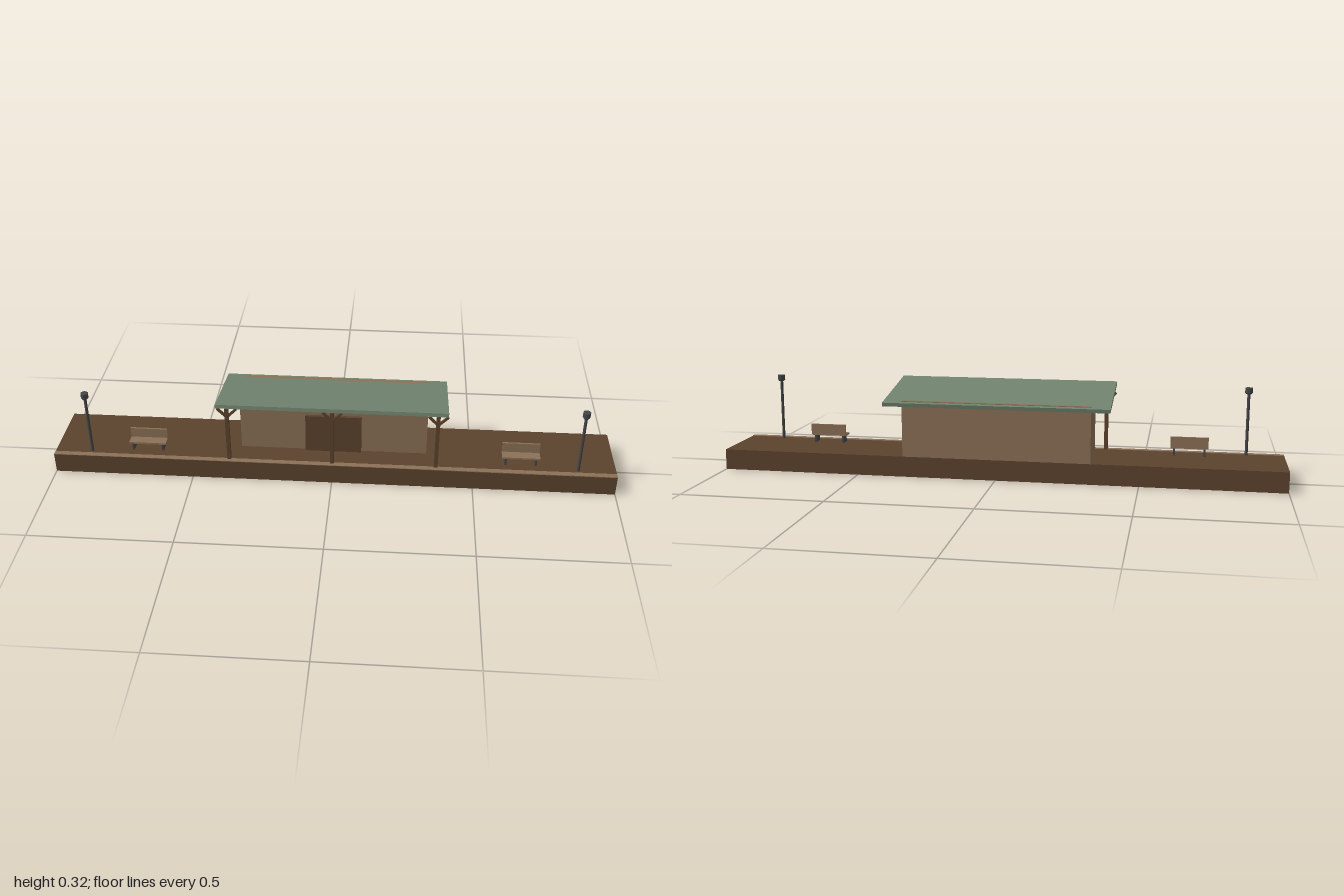
import * as THREE from 'three';

const mat = (color) => new THREE.MeshStandardMaterial({ color });

export function createModel() {
  const model = new THREE.Group();
  model.name = 'stationPlatform';
  const darkWood = mat(0x5c432d), wood = mat(0x8b7056), roofGreen = mat(0x71836f), metal = mat(0x444548);
  const deck = 0.073;

  const add = (parent, name, geometry, material, x, y, z) => {
    const mesh = new THREE.Mesh(geometry, material);
    mesh.name = name;
    mesh.position.set(x, y, z);
    parent.add(mesh);
    return mesh;
  };
  const box = (parent, name, material, [w, h, d], [x, y, z]) =>
    add(parent, name, new THREE.BoxGeometry(w, h, d), material, x, y, z);
  const group = (name, x, y, z) => {
    const g = new THREE.Group();
    g.name = name;
    g.position.set(x, y, z);
    model.add(g);
    return g;
  };

  // Platform with a thin lighter strip along its front edge
  box(model, 'platform', darkWood, [2, deck, 0.267], [0, deck / 2, 0]);
  box(model, 'edgeStrip', wood, [2, 0.003, 0.02], [0, deck, 0.1235]);

  // Shelter building and its door
  box(model, 'building', wood, [0.667, 0.2, 0.167], [0, deck + 0.1, -0.05]);
  box(model, 'door', darkWood, [0.2, 0.147, 0.013], [0, deck + 0.0735, 0.037]);

  // Lean-to roof, higher at the front
  const roof = box(model, 'roof', roofGreen, [0.8, 0.0133, 0.3], [0, 0.2873, 0]);
  roof.rotation.x = -THREE.MathUtils.degToRad(10);

  // Canopy posts with a pair of diagonal braces each
  for (const x of [-0.367, 0, 0.367]) {
    const post = group('canopyPost', x, deck, 0.1135);
    box(post, 'post', darkWood, [0.0133, 0.2137, 0.0133], [0, 0.1068, 0]);
    for (const s of [-1, 1]) {
      const brace = box(post, 'brace', darkWood, [0.008, 0.046, 0.008], [s * 0.017, 0.194, 0]);
      brace.rotation.z = -s * Math.PI / 4;
    }
  }

  for (const side of [-1, 1]) {
    // Bench
    const bench = group('bench', side * 0.667, deck, 0);
    box(bench, 'seat', wood, [0.133, 0.0067, 0.037], [0, 0.0303, 0.0675]);
    box(bench, 'backrest', wood, [0.133, 0.039, 0.0067], [0, 0.0505, 0.0467]);
    for (const s of [-1, 1])
      box(bench, 'leg', metal, [0.0067, 0.027, 0.0333], [s * 0.0533, 0.0135, 0.0667]);

    // Lamp post
    const lamp = group('lampPost', side * 0.867, deck, 0.1);
    add(lamp, 'pole', new THREE.CylinderGeometry(0.0053, 0.0053, 0.224, 12), metal, 0, 0.112, 0);
    add(lamp, 'lampHead', new THREE.CylinderGeometry(0.0133, 0.0133, 0.018, 12), metal, 0, 0.235, 0);
    add(lamp, 'lampBase', new THREE.CylinderGeometry(0.0125, 0.0105, 0.004, 12), metal, 0, 0.224, 0);
  }
  return model;
}
